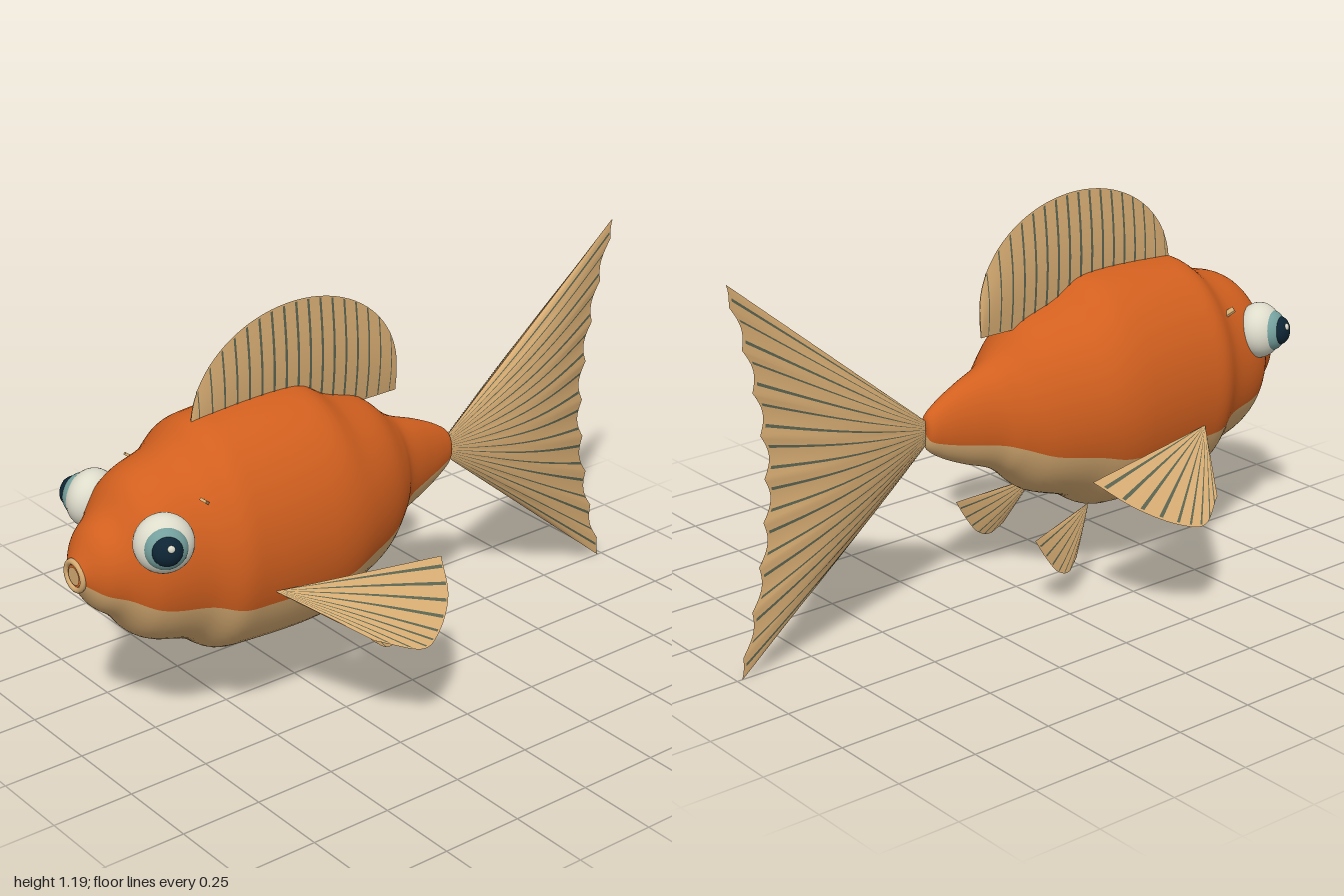
import * as THREE from 'three';

const mat = (name, color, double = false) => {
  const m = new THREE.MeshStandardMaterial({ color });
  m.name = name;
  if (double) m.side = THREE.DoubleSide;
  return m;
};
const V = (x, y, z) => new THREE.Vector3(x, y, z);
const CENTER_Y = 0.588;

// Smooth grid surface from a function of two parameters
function grid(fn, nu, ns) {
  const pos = [], index = [];
  for (let i = 0; i <= nu; i++)
    for (let j = 0; j <= ns; j++) pos.push(...fn(i / nu, j / ns).toArray());
  for (let i = 0; i < nu; i++)
    for (let j = 0; j < ns; j++) {
      const a = i * (ns + 1) + j, b = a + ns + 1;
      index.push(a, b, a + 1, b, b + 1, a + 1);
    }
  const g = new THREE.BufferGeometry();
  g.setAttribute('position', new THREE.Float32BufferAttribute(pos, 3));
  g.setIndex(index);
  g.computeVertexNormals();
  return g;
}

export function createModel() {
  const orange = mat('orange skin', 0xd2601f);
  const tan = mat('tan belly and fins', 0xd6ab72, true);
  const rayColor = mat('grey green fin rays', 0x5a6350, true);
  const white = mat('eye white', 0xdedccb);
  const teal = mat('teal iris', 0x74a09d);
  const dark = mat('dark pupil', 0x0e2535);

  const fish = new THREE.Group();
  fish.name = 'fish';
  const add = (name, geometry, material, parent = fish) => {
    const m = new THREE.Mesh(geometry, material);
    m.name = name;
    parent.add(m);
    return m;
  };

  // Body: elliptical sections given as half width, half height, z
  const sections = [
    [0.045, 0.045, 0.99], [0.1, 0.115, 0.946], [0.135, 0.16, 0.893], [0.185, 0.23, 0.834],
    [0.205, 0.26, 0.785], [0.232, 0.293, 0.68], [0.274, 0.346, 0.6], [0.28, 0.358, 0.517],
    [0.284, 0.365, 0.3], [0.276, 0.354, 0.22], [0.255, 0.306, 0.14], [0.2, 0.258, 0.01],
    [0.145, 0.19, -0.07], [0.105, 0.16, -0.115], [0.07, 0.125, -0.206], [0.045, 0.085, -0.287],
    [0.028, 0.05, -0.33], [0.002, 0.003, -0.337],
  ];
  const rings = new THREE.CatmullRomCurve3(sections.map((s) => V(...s))).getPoints(102);
  const SIDES = 60, BACK_SIDES = 38; // the back spans 228 degrees of each section
  const pos = [], index = [];
  for (const r of rings)
    for (let j = 0; j < SIDES; j++) {
      const t = THREE.MathUtils.degToRad(-24 + j * 6);
      pos.push(r.x * Math.cos(t), CENTER_Y + r.y * Math.sin(t), r.z);
    }
  for (let j = 0; j < SIDES; j++)
    for (let i = 0; i < rings.length - 1; i++) {
      const a = i * SIDES + j, b = i * SIDES + ((j + 1) % SIDES);
      index.push(a, a + SIDES, b, b, a + SIDES, b + SIDES);
    }
  const bodyGeo = new THREE.BufferGeometry();
  bodyGeo.setAttribute('position', new THREE.Float32BufferAttribute(pos, 3));
  bodyGeo.setIndex(index);
  bodyGeo.computeVertexNormals();
  const split = BACK_SIDES * (rings.length - 1) * 6;
  bodyGeo.addGroup(0, split, 0);
  bodyGeo.addGroup(split, index.length - split, 1);
  add('body', bodyGeo, [orange, tan]);

  // Mouth: round lip, dark orange gap and inner disc
  add('lip', new THREE.TorusGeometry(0.041, 0.009, 10, 36), tan).position.set(0, 0.582, 0.991);
  add('mouthGap', new THREE.CircleGeometry(0.042, 32), orange).position.set(0, 0.582, 0.992);
  add('mouthDisc', new THREE.CircleGeometry(0.027, 32), tan).position.set(0, 0.582, 0.995);

  // Fin: two bulged sheets between root and edge, with thin rays on both sides
  function fin(name, root, edge, normal, bulge, rays, width, nu = 40) {
    const g = new THREE.Group();
    g.name = name;
    const at = (u, s, k, lift = 0) => root(u).lerp(edge(u), s).addScaledVector(
      normal, k * (bulge * Math.sin(Math.PI * s) * Math.sqrt(Math.max(0, Math.sin(Math.PI * u))) + lift));
    for (const k of [-1, 1]) {
      add('web', grid((u, s) => at(u, s, k, 0.001), nu, 10), tan, g);
      for (const r of rays)
        add('ray', grid((a, s) => at(r + (a - 0.5) * width, 0.02 + s * 0.97, k, 0.003), 1, 10), rayColor, g);
    }
    fish.add(g);
  }
  const spread = (n) => Array.from({ length: n }, (_, i) => (i + 0.6) / (n + 0.2));

  // Dorsal fin: upright half oval, rays evenly spaced along its length
  const dorsalZ = (u) => 0.235 + 0.365 * Math.cos(Math.PI * u);
  fin('dorsalFin',
    (u) => V(0, 0.83, dorsalZ(u)),
    (u) => V(0.006, 0.912 + 0.29 * Math.sin(Math.PI * u), dorsalZ(u)),
    V(1, 0, 0), 0.014,
    spread(17).map((t) => Math.acos(1 - 2 * t) / Math.PI), 0.007);

  // Tail fin: wide fan with a scalloped trailing edge
  fin('tailFin',
    (u) => V(0, CENTER_Y + (u - 0.5) * 0.06, -0.325),
    (u) => {
      const v = 2 * u - 1;
      const scallop = 0.02 * Math.abs(Math.sin(Math.PI * 4.5 * v)) * (1 - v * v * 0.3);
      return V(0, CENTER_Y + 0.577 * v, -0.885 - 0.112 * Math.abs(v) ** 1.7 + scallop);
    },
    V(1, 0, 0), 0.044, spread(18), 0.008, 108);

  for (const side of [1, -1]) {
    const prefix = side > 0 ? 'left' : 'right';
    const P = (x, y, z) => V(side * x, y, z);

    // Paired fins: fans from one point to a curved edge
    const fan = (name, apex, points, normal, n) => {
      const curve = new THREE.CatmullRomCurve3(points.map((p) => P(...p)));
      fin(prefix + name, () => P(...apex), (u) => curve.getPoint(u), P(...normal), 0.006, spread(n), 0.022);
    };
    fan('PectoralFin', [0.268, 0.486, 0.51],
      [[0.36, 0.466, -0.01], [0.47, 0.405, 0.055], [0.545, 0.355, 0.15], [0.572, 0.34, 0.225], [0.5, 0.375, 0.345]],
      [0.42, 0.9, 0], 9);
    fan('PelvicFin', [0.13, 0.28, 0.17],
      [[0.188, 0.245, -0.08], [0.19, 0.18, -0.04], [0.19, 0.125, 0.005], [0.187, 0.11, 0.045], [0.172, 0.14, 0.09]],
      [0.93, 0.3, 0.2], 7);

    // Bulging eye: white, iris, pupil and glint stacked along one axis
    const eye = new THREE.Group();
    eye.name = prefix + 'Eye';
    eye.position.set(side * 0.177, 0.698, 0.815);
    eye.quaternion.setFromUnitVectors(V(0, 0, 1), P(0.87, 0.11, 0.42).normalize());
    fish.add(eye);
    const ball = (name, r, depth, z, m) => {
      const b = add(name, new THREE.SphereGeometry(r, 32, 20), m, eye);
      b.scale.z = depth / r;
      b.position.z = z;
      return b;
    };
    ball('eyeWhite', 0.085, 0.068, 0, white);
    ball('iris', 0.062, 0.046, 0.037, teal);
    ball('pupil', 0.043, 0.03, 0.066, dark);
    ball('glint', 0.011, 0.007, 0.091, white).position.set(side * 0.006, 0.014, 0.091);

    // Small nostril flap behind the eye
    const flap = add(prefix + 'Flap', new THREE.BoxGeometry(0.02, 0.008, 0.036), tan);
    flap.position.set(side * 0.181, 0.783, 0.68);
    flap.rotation.set(-0.7, side * 0.5, 0);
  }
  return fish;
}
